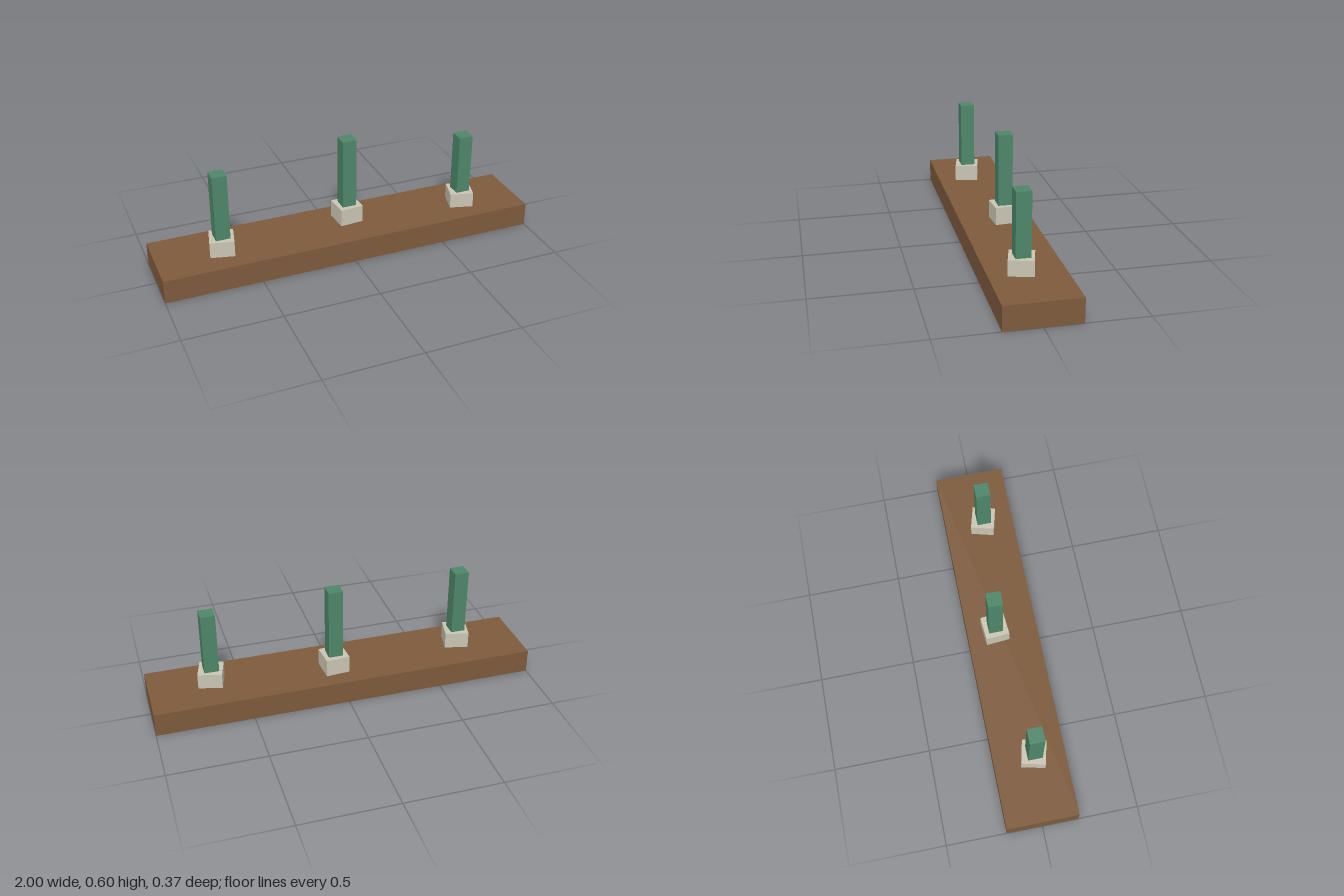
import * as THREE from 'three';

export function createModel() {
  const model = new THREE.Group();
  const wood = new THREE.MeshStandardMaterial({ color: 0x7d5a3c, side: THREE.DoubleSide });
  wood.name = 'brown wood';
  const stone = new THREE.MeshStandardMaterial({ color: 0xc9c4b3 });
  stone.name = 'pale stone';
  const green = new THREE.MeshStandardMaterial({ color: 0x4d8668 });
  green.name = 'green';

  // Adds a box standing on the height y0
  function addBox(parent, name, material, w, h, d, y0) {
    const mesh = new THREE.Mesh(new THREE.BoxGeometry(w, h, d), material);
    mesh.name = name;
    mesh.position.y = y0 + h / 2;
    parent.add(mesh);
    return mesh;
  }

  // Thin-walled base, open underneath: drop the bottom face of the box
  const baseHeight = 0.125;
  const base = addBox(model, 'base', wood, 2, baseHeight, 0.374, 0);
  const index = Array.from(base.geometry.index.array);
  index.splice(18, 6);
  base.geometry.setIndex(index);
  base.geometry.clearGroups();

  // Posts on turned stone blocks: x, z, block top, post top, block turn in degrees
  const posts = [
    ['rightPost', -0.66, 0.022, 0.21, 0.562, -13],
    ['middlePost', 0.041, -0.039, 0.218, 0.595, 4.5],
    ['leftPost', 0.676, 0.022, 0.205, 0.53, -15],
  ];
  for (const [name, x, z, blockTop, postTop, turn] of posts) {
    const group = new THREE.Group();
    group.name = name;
    group.position.set(x, 0, z);
    const block = addBox(group, 'footBlock', stone, 0.124, blockTop - baseHeight, 0.124, baseHeight);
    block.rotation.y = THREE.MathUtils.degToRad(turn);
    addBox(group, 'post', green, 0.075, postTop - blockTop, 0.075, blockTop);
    model.add(group);
  }
  return model;
}
